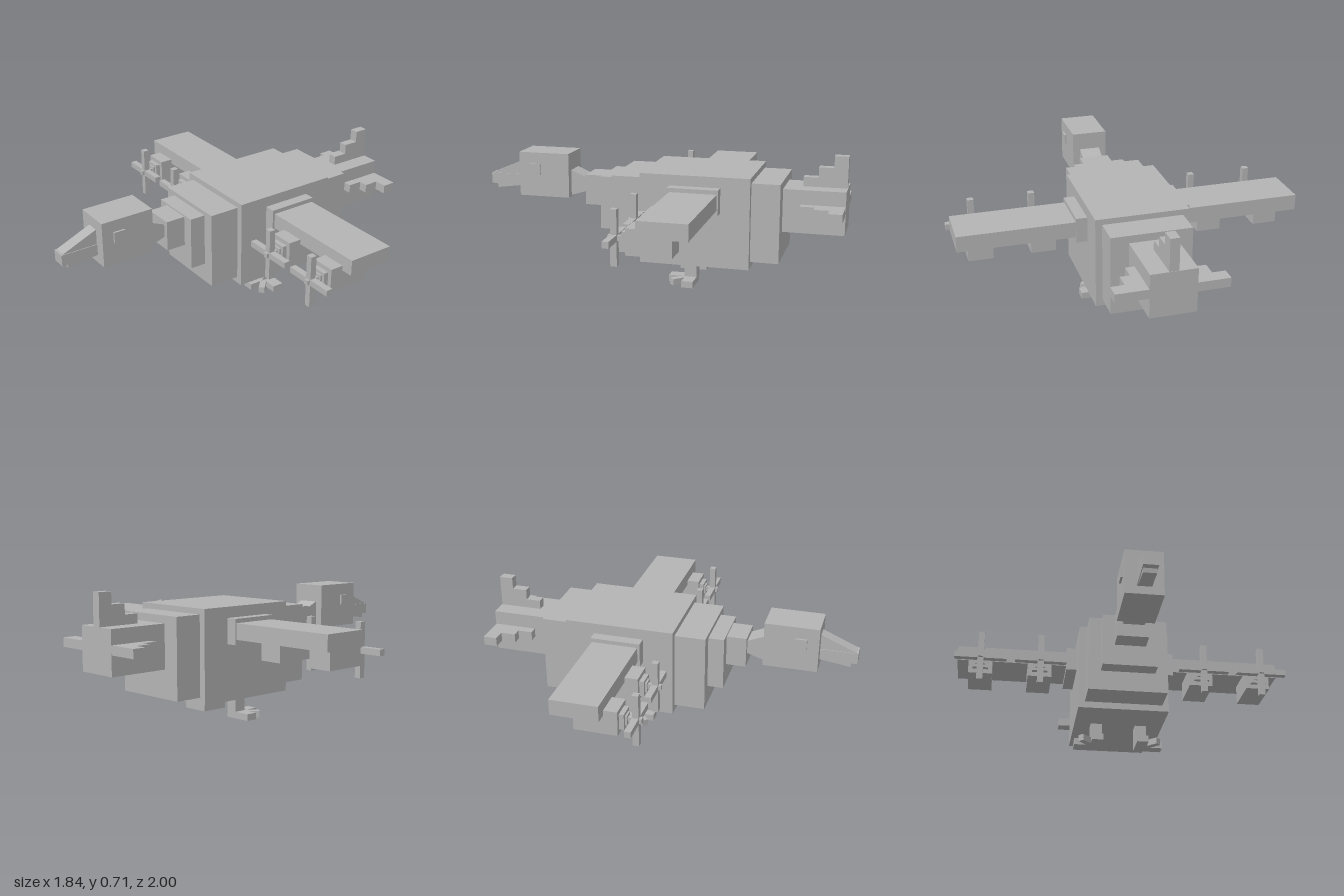
import * as THREE from 'three';

export function createModel() {
  const model = new THREE.Group();
  const grey = new THREE.MeshStandardMaterial({ color: 0xb4b4b4 });
  grey.name = 'plain grey';

  const add = (name, geometry, parent = model) => {
    const mesh = new THREE.Mesh(geometry, grey);
    mesh.name = name;
    parent.add(mesh);
    return mesh;
  };
  // Box from its minimum and maximum on each axis
  const box = (name, x0, x1, y0, y1, z0, z1, parent) => {
    const mesh = add(name, new THREE.BoxGeometry(x1 - x0, y1 - y0, z1 - z0), parent);
    mesh.position.set((x0 + x1) / 2, (y0 + y1) / 2, (z0 + z1) / 2);
    return mesh;
  };
  // Box centred on x = 0
  const mid = (name, half, y0, y1, z0, z1) => box(name, -half, half, y0, y1, z0, z1);
  // Side outline of [z, y] points, extruded across x
  const sideProfile = (name, half, points) => {
    const shape = new THREE.Shape(points.map(([z, y]) => new THREE.Vector2(-z, y)));
    const geometry = new THREE.ExtrudeGeometry(shape, { depth: 2 * half, bevelEnabled: false });
    geometry.translate(0, 0, -half).rotateY(Math.PI / 2);
    return add(name, geometry);
  };

  // Stepped fuselage and neck
  mid('mainBody', 0.245, 0.125, 0.61, -0.525, 0.062);
  mid('frontBody', 0.21, 0.16, 0.58, 0.06, 0.228);
  mid('rearBody', 0.21, 0.16, 0.58, -0.675, -0.52);
  mid('neckBase', 0.145, 0.268, 0.557, 0.22, 0.313);
  mid('neckMiddle', 0.083, 0.382, 0.548, 0.31, 0.42);
  sideProfile('neckTop', 0.057, [[0.41, 0.52], [0.52, 0.567], [0.52, 0.42], [0.41, 0.455]]);

  // Head, eyes and beak
  mid('head', 0.098, 0.415, 0.66, 0.513, 0.802);
  mid('eyes', 0.109, 0.538, 0.597, 0.678, 0.74);
  mid('beakTip', 0.038, 0.46, 0.52, 0.79, 1);
  sideProfile('upperBeak', 0.034, [[0.79, 0.607], [0.99, 0.522], [0.99, 0.48], [0.79, 0.48]]);
  sideProfile('lowerBeak', 0.034, [[0.79, 0.5], [0.97, 0.475], [0.965, 0.436], [0.79, 0.46]]);

  // Tail with stepped fins
  mid('tail', 0.118, 0.31, 0.54, -1, -0.67);
  [[0.165, 0.59, -0.768], [0.215, 0.645, -0.846], [0.283, 0.708, -0.925]].forEach(([span, top, front]) => {
    mid('tailplaneStep', span, 0.415, 0.463, -0.998, front);
    mid('finStep', 0.024, 0.53, top, -0.998, front);
  });

  // Engine with stepped nose and a four-armed propeller
  const engine = (x, parent) => {
    const group = new THREE.Group();
    group.name = 'engine';
    group.position.set(x, 0.407, 0);
    parent.add(group);
    const block = (name, hx, hy, z0, z1) => box(name, -hx, hx, -hy, hy, z0, z1, group);
    block('nacelle', 0.065, 0.066, -0.27, -0.043);
    block('noseStep', 0.042, 0.042, -0.05, -0.018);
    block('noseCap', 0.026, 0.026, -0.03, -0.008);
    block('propellerShaft', 0.013, 0.013, -0.02, 0.062);
    block('bladeHorizontal', 0.14, 0.0165, 0.014, 0.048);
    block('bladeVertical', 0.0165, 0.141, 0.0145, 0.0475);
  };

  // Wings, engines, legs and feet on both sides
  for (const side of [1, -1]) {
    const half = new THREE.Group();
    half.name = side > 0 ? 'leftSide' : 'rightSide';
    model.add(half);
    const sided = (name, x0, x1, ...rest) =>
      box(name, Math.min(side * x0, side * x1), Math.max(side * x0, side * x1), ...rest, half);

    sided('wingRoot', 0.23, 0.303, 0.42, 0.553, -0.37, -0.1);
    sided('wing', 0.29, 0.908, 0.447, 0.531, -0.363, -0.113);
    engine(side * 0.453, half);
    engine(side * 0.778, half);

    sided('leg', 0.092, 0.155, 0.02, 0.14, -0.228, -0.16);
    sided('frontToe', 0.092, 0.155, 0, 0.036, -0.228, -0.075);
    sided('outerToe', 0.092, 0.244, 0, 0.0355, -0.2275, -0.165);
    const toe = add('diagonalToe', new THREE.BoxGeometry(0.034, 0.035, 0.13), half);
    toe.position.set(side * 0.167, 0.0175, -0.151);
    toe.rotation.y = side * Math.PI / 4;
  }
  return model;
}
